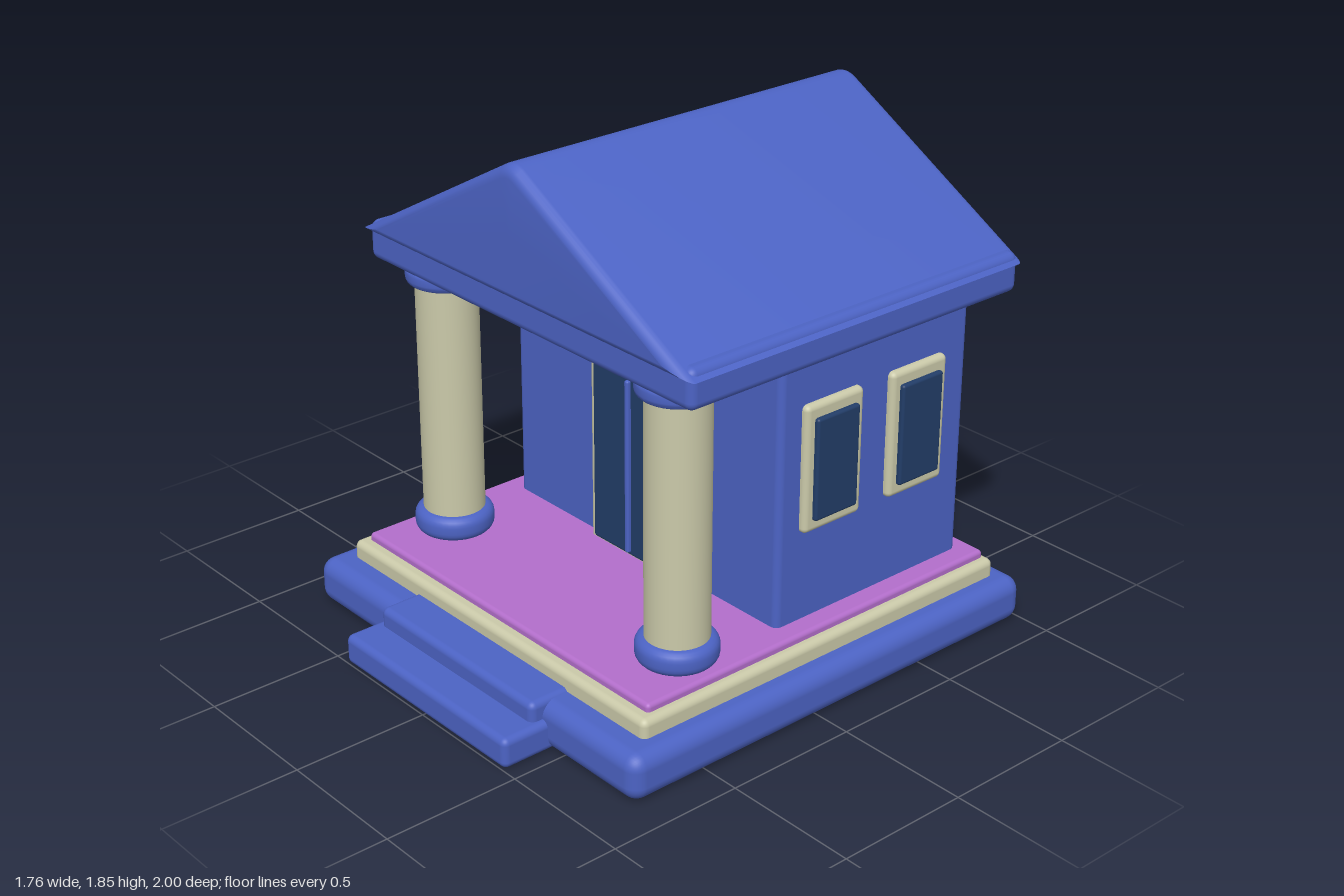
import * as THREE from 'three';
import { toCreasedNormals } from 'three/addons/utils/BufferGeometryUtils.js';
import { RoundedBoxGeometry } from 'three/addons/geometries/RoundedBoxGeometry.js';

const material = (name, color) => {
  const m = new THREE.MeshStandardMaterial({ color });
  m.name = name;
  return m;
};

// Closed triangular prism: sections shrink toward the incentre at both ends for an even bevel
function gableRoofGeometry(half, y0, rise, zBack, zFront, bevel) {
  const k = 0.04 / half;
  const shape = new THREE.Shape();
  shape.moveTo(-half, y0);
  shape.lineTo(half, y0);
  shape.lineTo(half * k, y0 + rise * (1 - k));
  shape.quadraticCurveTo(0, y0 + rise, -half * k, y0 + rise * (1 - k));
  shape.closePath();
  const ring = shape.getPoints(6).slice(0, -1);
  const inradius = (half * rise) / (half + Math.hypot(half, rise));

  const steps = 6, sections = [];
  for (let i = 0; i <= steps; i++) {
    const t = (i / steps) * Math.PI / 2;
    const s = 1 - bevel * (1 - Math.sin(t)) / inradius;
    const inset = bevel * (1 - Math.cos(t));
    sections.push([zBack + inset, s]);
  }
  for (let i = steps; i >= 0; i--) {
    sections.push([zFront - (sections[i][0] - zBack), sections[i][1]]);
  }

  const cy = y0 + inradius, n = ring.length, pos = [], index = [];
  for (const [z, s] of sections) {
    for (const p of ring) pos.push(p.x * s, cy + (p.y - cy) * s, z);
  }
  const back = sections.length * n, front = back + 1;
  pos.push(0, cy, zBack, 0, cy, zFront);
  const last = (sections.length - 1) * n;
  for (let j = 0; j < n; j++) {
    const j2 = (j + 1) % n;
    for (let i = 0; i < sections.length - 1; i++) {
      const a = i * n + j, b = i * n + j2;
      index.push(a, b, b + n, a, b + n, a + n);
    }
    index.push(back, j2, j, front, last + j, last + j2);
  }
  const g = new THREE.BufferGeometry();
  g.setAttribute('position', new THREE.Float32BufferAttribute(pos, 3));
  g.setIndex(index);
  return toCreasedNormals(g, Math.PI / 5);
}

// Round moulding with softened rims
function ringGeometry(radius, height, r) {
  const pts = [new THREE.Vector2(0, 0)];
  for (const [cy, start] of [[r, -Math.PI / 2], [height - r, 0]]) {
    for (let i = 0; i <= 5; i++) {
      const a = start + (i / 5) * Math.PI / 2;
      pts.push(new THREE.Vector2(radius - r + r * Math.cos(a), cy + r * Math.sin(a)));
    }
  }
  pts.push(new THREE.Vector2(0, height));
  return toCreasedNormals(new THREE.LatheGeometry(pts, 40), Math.PI / 5);
}

export function createModel() {
  const root = new THREE.Group();
  root.name = 'templeHouse';
  const blue = material('blue', 0x4c63c4);
  const cream = material('cream', 0xcac9a9);
  const pink = material('pink', 0xb36ecb);
  const navy = material('navy', 0x223d68);

  const add = (name, geometry, mat, parent = root) => {
    const mesh = new THREE.Mesh(geometry, mat);
    mesh.name = name;
    parent.add(mesh);
    return mesh;
  };
  // Rounded box given by its extents
  const box = (name, mat, [x0, x1], [y0, y1], [z0, z1], r, parent = root) => {
    const g = new RoundedBoxGeometry(x1 - x0, y1 - y0, z1 - z0, 4, r);
    g.translate((x0 + x1) / 2, (y0 + y1) / 2, (z0 + z1) / 2);
    return add(name, g, mat, parent);
  };

  // Base, layered floor and front steps
  box('base', blue, [-0.88, 0.88], [0, 0.17], [-1, 0.82], 0.055);
  box('plinth', cream, [-0.8, 0.8], [0.12, 0.235], [-0.927, 0.712], 0.025);
  box('floor', pink, [-0.765, 0.765], [0.2, 0.263], [-0.905, 0.665], 0.015);
  box('upperStep', blue, [-0.42, 0.42], [0.06, 0.181], [0.6, 0.866], 0.025);
  box('lowerStep', blue, [-0.447, 0.447], [0, 0.112], [0.7, 1], 0.025);

  // Main room
  box('walls', blue, [-0.687, 0.687], [0.22, 1.32], [-0.845, 0.033], 0.025);

  // Double door
  const door = new THREE.Group();
  door.name = 'door';
  root.add(door);
  box('doorFrame', cream, [-0.242, 0.242], [0.235, 1.032], [-0.02, 0.065], 0.02, door);
  box('doorPanel', navy, [-0.196, 0.196], [0.28, 0.975], [0.03, 0.09], 0.012, door);
  box('doorDivider', blue, [-0.01, 0.01], [0.295, 0.96], [0.07, 0.106], 0.008, door);

  // Two windows on each side wall
  for (const side of [1, -1]) {
    const span = (a, b) => (side > 0 ? [a, b] : [-b, -a]);
    for (const z of [-0.194, -0.59]) {
      const win = new THREE.Group();
      win.name = side > 0 ? 'leftWindow' : 'rightWindow';
      root.add(win);
      box('windowFrame', cream, span(0.64, 0.713), [0.595, 1.063], [z - 0.132, z + 0.132], 0.02, win);
      box('windowPane', navy, span(0.68, 0.73), [0.64, 1.015], [z - 0.097, z + 0.097], 0.01, win);
    }
  }

  // Porch columns
  const shaft = new THREE.CylinderGeometry(0.111, 0.111, 0.92, 40, 1, true);
  const foot = ringGeometry(0.142, 0.093, 0.035);
  const cap = ringGeometry(0.142, 0.07, 0.025);
  for (const side of [1, -1]) {
    const column = new THREE.Group();
    column.name = side > 0 ? 'leftColumn' : 'rightColumn';
    column.position.set(side * 0.605, 0, 0.4);
    root.add(column);
    add('columnShaft', shaft, cream, column).position.y = 0.77;
    add('columnFoot', foot, blue, column).position.y = 0.263;
    add('columnCap', cap, blue, column).position.y = 1.222;
  }

  // Beam and gable roof
  box('beam', blue, [-0.835, 0.835], [1.276, 1.42], [-0.913, 0.555], 0.03);
  add('roof', gableRoofGeometry(0.853, 1.386, 0.477, -0.932, 0.59, 0.04), blue);

  return root;
}
